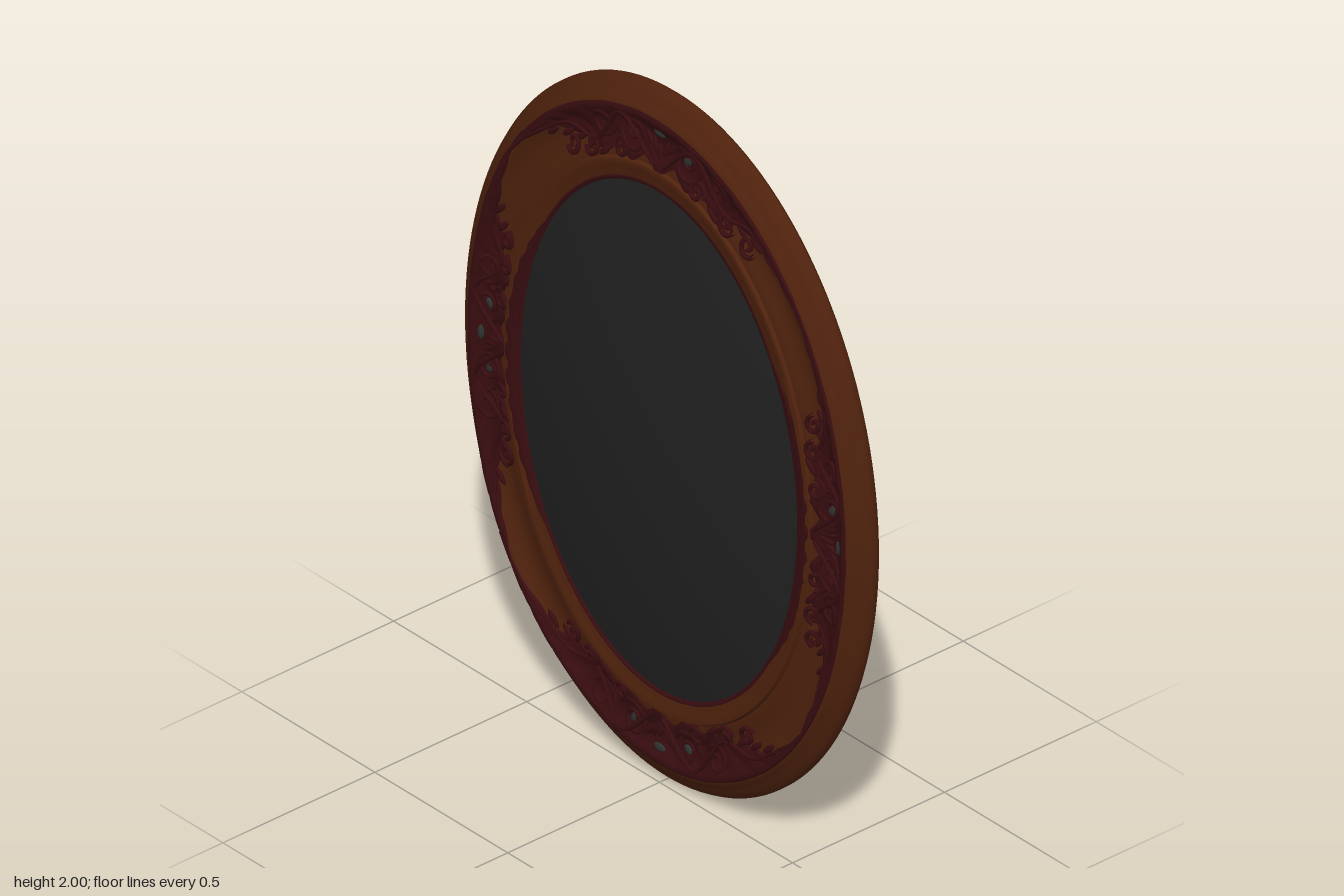
import * as THREE from 'three';
import { toCreasedNormals } from 'three/addons/utils/BufferGeometryUtils.js';

const mat = (name, color, side = THREE.FrontSide) => {
  const m = new THREE.MeshStandardMaterial({ color, side });
  m.name = name;
  return m;
};

// Front half of the frame moulding: t runs from outer edge (0) to glass edge (1), then z
const FRONT = [[0, -0.05], [0, -0.037], [0.03, -0.023], [0.1, -0.013], [0.16, -0.002], [0.2, 0.009],
  [0.25, 0.011], [0.29, 0.005], [0.36, -0.006], [0.45, -0.012], [0.55, -0.012], [0.65, -0.005],
  [0.72, 0.001], [0.76, 0.001], [0.78, 0.01], [0.83, 0.012], [0.87, 0.006], [0.93, 0.006],
  [0.97, 0.003], [1.02, -0.004]];
const BACK = [[1.02, -0.017], [0.65, -0.017], [0.63, -0.024], [0.58, -0.032], [0.5, -0.04], [0.38, -0.049],
  [0.25, -0.056], [0.12, -0.06], [0.03, -0.059], [0, -0.05]];

const oval = (t, z) => [0.765 - 0.245 * t, 1 - 0.275 * t, z];

function frontZ(t) {
  for (let i = 1; i < FRONT.length; i++) {
    const [a, za] = FRONT[i - 1], [b, zb] = FRONT[i];
    if (t <= b && b > a) return za + (zb - za) * Math.max(0, (t - a) / (b - a));
  }
  return -0.004;
}

// Point on the front of the moulding, lifted off it
function onFrame(theta, t, lift = 0) {
  const [a, b] = oval(t, 0);
  return new THREE.Vector3(a * Math.cos(theta), 1 + b * Math.sin(theta), frontZ(t) + lift);
}

// Grid surface from a point function, rows j and columns i
function grid(cols, rows, wrap, point) {
  const pos = [], idx = [], w = wrap ? cols : cols + 1;
  for (let j = 0; j <= rows; j++)
    for (let i = 0; i < w; i++) pos.push(...point(i / cols, j));
  for (let j = 0; j < rows; j++)
    for (let i = 0; i < cols; i++) {
      const a = j * w + i, b = j * w + (i + 1) % w;
      idx.push(a, b, a + w, b, b + w, a + w);
    }
  const g = new THREE.BufferGeometry();
  g.setAttribute('position', new THREE.Float32BufferAttribute(pos, 3));
  g.setIndex(idx);
  g.computeVertexNormals();
  return g;
}

// Oval loft through rows of [half width, half height, z]
const loft = (rows, n = 144) => grid(n, rows.length - 1, true, (u, j) => {
  const [a, b, z] = rows[j], th = u * Math.PI * 2;
  return [a * Math.cos(th), 1 + b * Math.sin(th), z];
});

export function createModel() {
  const root = new THREE.Group();
  const wood = mat('brown wood', 0x4f220d);
  const carving = mat('dark red carving', 0x380d10, THREE.DoubleSide);
  const glassMat = mat('dark glass', 0x212121);
  const boardMat = mat('backing board brown', 0x3a2b1c);
  const metal = mat('dark metal', 0x2f3335);
  const inlayMat = mat('grey inlay', 0x2e3432);
  const brass = mat('clip brown', 0x40321f);
  const add = (name, geo, material, parent = root) => {
    const m = new THREE.Mesh(geo, material);
    m.name = name;
    parent.add(m);
    return m;
  };

  // Moulded frame
  const frameRows = [...FRONT, ...BACK].map(([t, z]) => oval(t, z));
  add('frame', toCreasedNormals(loft(frameRows), 0.7), wood);

  // Convex glass
  const dome = [];
  for (let i = 0; i <= 16; i++) {
    const f = 1 - i / 16;
    dome.push([0.522 * f, 0.727 * f, 0.06 - 0.06 * f * f]);
  }
  add('convexGlass', loft(dome), glassMat);

  // Backing board, facing backwards
  add('backingBoard', toCreasedNormals(loft([[0, 0, -0.024], oval(0.64, -0.024), oval(0.64, -0.015)]), 0.5), boardMat);

  // Bead beside the glass
  add('innerBead', loft([oval(0.955, frontZ(0.955)), oval(0.98, frontZ(0.98) + 0.005), oval(1.005, frontZ(1.005))]), carving);

  // Carved ornaments at the four quarters
  const ornaments = [
    { name: 'leftOrnament', mid: 0, len: 0.34, radius: 0.86, tail: 2 },
    { name: 'topOrnament', mid: Math.PI / 2, len: 0.38, radius: 0.67, tail: 1.7 },
    { name: 'rightOrnament', mid: Math.PI, len: 0.34, radius: 0.86, tail: 2 },
    { name: 'bottomOrnament', mid: -Math.PI / 2, len: 0.38, radius: 0.67, tail: 1.7 },
  ];
  for (const o of ornaments) {
    const g = new THREE.Group();
    g.name = o.name;
    root.add(g);
    const at = (u, t, lift) => onFrame(o.mid + u * o.len / o.radius, t, lift);

    // Leafy ground that narrows into tails along the outer ledge
    add('leafGround', grid(160, 12, false, (f, j) => {
      const u = (f * 2 - 1) * o.tail, a = Math.abs(u), v = j / 12;
      let w = a < 0.65 ? 0.95 - 0.2 * a * a : a < 1.1 ? 0.865 - (a - 0.65) * 1.3 : 0.28 * (o.tail - a) / (o.tail - 1.1);
      w *= 0.82 + 0.18 * Math.abs(Math.cos(10 * u));
      const t = 0.2 + v * 0.62 * w;
      const edge = j === 0 || j === 12;
      const lift = edge ? -0.002 : 0.003 + 0.004 * Math.abs(Math.sin(12 * a + 5 * v));
      const p = at(u, t, lift);
      return [p.x, p.y, Math.min(p.z, 0.014)];
    }), carving, g);

    // Scrolls, mirrored about the ornament's middle
    const scroll = (u0, t0, r, turns, start, dir) => {
      const pts = [];
      for (let i = 0; i <= 24; i++) {
        const f = i / 24, an = start + dir * f * turns * Math.PI * 2, q = r * (1 - 0.8 * f);
        pts.push(at(u0 + q * Math.cos(an) / o.len, Math.min(0.82, t0 + q * Math.sin(an) / 0.26), 0.005));
      }
      const curve = new THREE.CatmullRomCurve3(pts);
      add('scroll', new THREE.TubeGeometry(curve, 40, 0.0065, 6), carving, g);
    };
    for (const s of [-1, 1]) {
      const st = s > 0 ? 0 : Math.PI;
      scroll(s * 0.27, 0.48, 0.055, 1.5, st, s);
      scroll(s * 0.58, 0.42, 0.045, 1.4, st + Math.PI, -s);
      scroll(s * 0.42, 0.68, 0.032, 1.3, st, -s);
      scroll(s * 0.75, 0.64, 0.03, 1.3, st, s);
      scroll(s * 0.97, 0.58, 0.028, 1.2, st, s);
      // Stem linking the scrolls
      const stem = [[0.05, 0.72], [0.35, 0.3], [0.7, 0.6], [0.95, 0.38], [1.25, 0.3]];
      add('stem', new THREE.TubeGeometry(new THREE.CatmullRomCurve3(
        stem.map(([u, t]) => at(s * u, t, 0.005))), 40, 0.006, 6), carving, g);
      // Leaf-shaped inlay inside the main scroll
      const inlay = add('inlay', new THREE.SphereGeometry(1, 12, 8), inlayMat, g);
      inlay.position.copy(at(s * 0.27, 0.48, 0.004));
      inlay.scale.set(0.02, 0.012, 0.006);
      inlay.rotation.z = o.mid + s * 0.8;
      // Outer leaflets that break up the edge of the carving
      for (let k = 0; k < 5; k++) {
        const leaf = add('leaflet', new THREE.SphereGeometry(1, 10, 6), carving, g);
        leaf.position.copy(at(s * (0.62 + 0.13 * k), 0.72 - 0.085 * k, 0.002));
        leaf.scale.set(0.028, 0.009, 0.007);
        leaf.rotation.z = o.mid + Math.PI / 2 + s * 0.75;
      }
    }
    // Central shell
    for (let k = -2; k <= 2; k++) {
      const petal = add('shellPetal', new THREE.SphereGeometry(1, 10, 8), carving, g);
      petal.position.copy(at(k * 0.05, 0.6 - 0.05 * Math.abs(k), 0.004));
      petal.scale.set(0.034, 0.009, 0.008);
      petal.rotation.z = o.mid + k * 0.35;
    }
    const inset = add('centreInlay', new THREE.SphereGeometry(1, 12, 8), inlayMat, g);
    inset.position.copy(at(0, 0.37, 0.005));
    inset.scale.set(0.012, 0.022, 0.006);
    inset.rotation.z = o.mid;

    // Carved strip on the inner lip of the side ornaments
    if (o.radius > 0.8) add('lipCarving', grid(70, 4, false, (f, j) => {
      const u = f * 2 - 1, v = j / 4;
      const w = (1 - u * u) * (0.75 + 0.25 * Math.abs(Math.cos(u * 22)));
      const p = onFrame(o.mid + u * 0.68, 0.97 - v * 0.19 * w, j === 0 || j === 4 ? -0.001 : 0.003);
      return [p.x, p.y, p.z];
    }), carving, g);
  }

  // Hanging wire and its ring plates
  for (const s of [-1, 1]) {
    const hanger = new THREE.Group();
    hanger.name = s > 0 ? 'leftHanger' : 'rightHanger';
    hanger.position.set(s * 0.4, 1.37, -0.027);
    hanger.rotation.z = s * 0.2;
    root.add(hanger);
    add('plate', new THREE.BoxGeometry(0.06, 0.038, 0.006), metal, hanger);
    add('ring', new THREE.TorusGeometry(0.016, 0.004, 6, 16), metal, hanger).position.set(-s * 0.04, 0, -0.002);
    const screw = add('screw', new THREE.CylinderGeometry(0.008, 0.008, 0.006, 10), metal, hanger);
    screw.rotation.x = Math.PI / 2;
    screw.position.set(s * 0.012, 0, -0.005);
    const knot = add('wireKnot', new THREE.CylinderGeometry(0.006, 0.006, 0.05, 8), metal, hanger);
    knot.rotation.z = Math.PI / 2;
    knot.position.set(-s * 0.08, -0.005, -0.003);
  }
  const wire = new THREE.CatmullRomCurve3([[-0.35, 1.36], [-0.2, 1.325], [0, 1.31], [0.2, 1.325], [0.35, 1.36]]
    .map(([x, y]) => new THREE.Vector3(x, y, -0.03)));
  add('hangingWire', new THREE.TubeGeometry(wire, 40, 0.0035, 6), metal);

  // Four turn clips holding the board
  for (let k = 0; k < 4; k++) {
    const a = k * Math.PI / 2;
    const clip = new THREE.Group();
    clip.name = 'boardClip';
    clip.position.set(0.58 * Math.cos(a), 1 + 0.78 * Math.sin(a), -0.027);
    clip.rotation.z = a;
    root.add(clip);
    add('clipArm', new THREE.BoxGeometry(0.05, 0.014, 0.006), brass, clip);
    const screw = add('clipScrew', new THREE.CylinderGeometry(0.013, 0.013, 0.01, 12), brass, clip);
    screw.rotation.x = Math.PI / 2;
    screw.position.set(-0.02, 0, -0.002);
  }
  return root;
}
